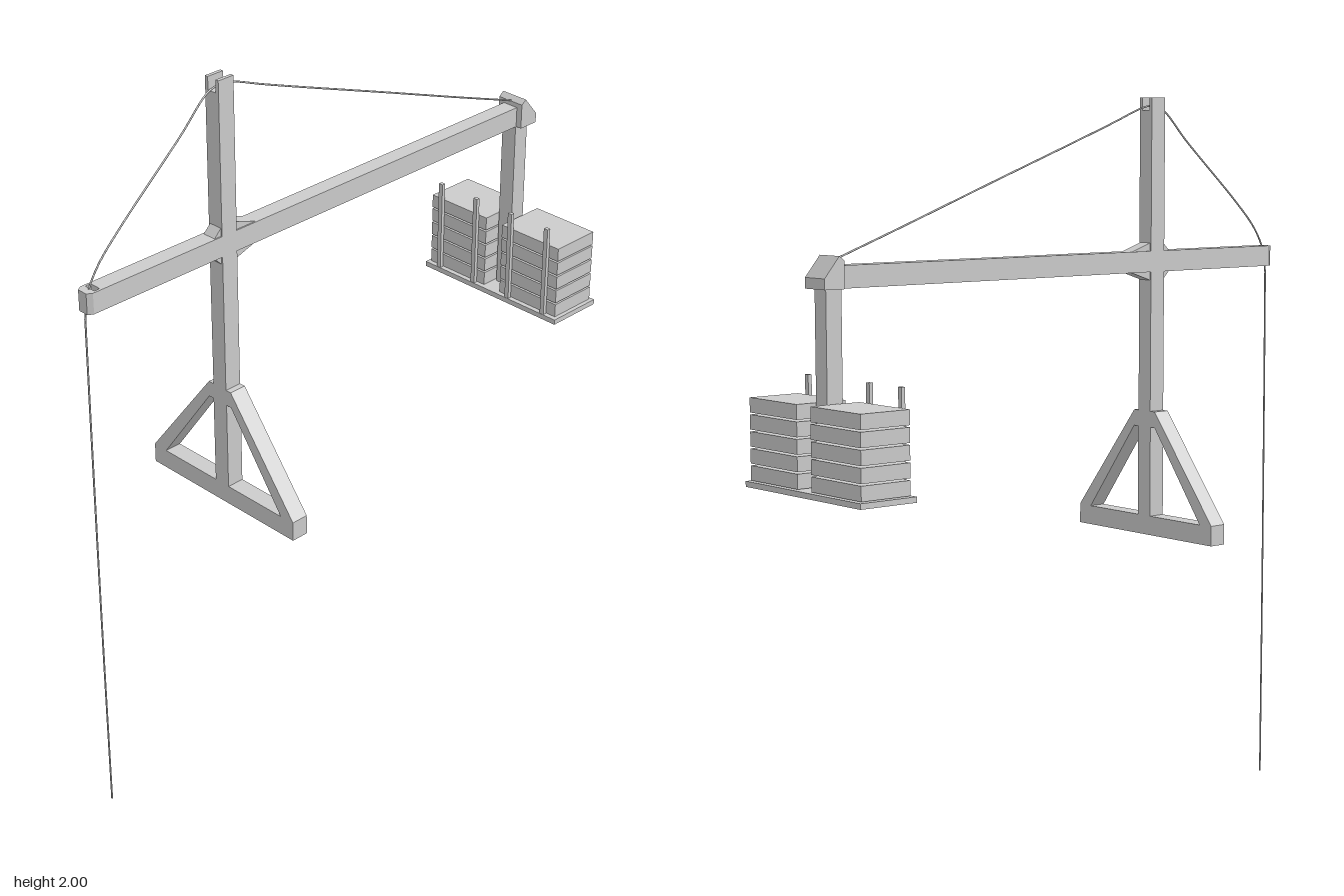
import * as THREE from 'three';

const material = new THREE.MeshStandardMaterial({ color: 0xcccccc, flatShading: true });
const ropeMaterial = new THREE.MeshStandardMaterial({ color: 0xcccccc });

export function createModel() {
  const root = new THREE.Group();
  root.name = 'counterweightCrane';

  const add = (name, geometry, parent = root, mat = material) => {
    const mesh = new THREE.Mesh(geometry, mat);
    mesh.name = name;
    parent.add(mesh);
    return mesh;
  };
  // Box given by its limits on each axis
  const box = (name, [x0, x1], [y0, y1], [z0, z1], parent) =>
    add(name, new THREE.BoxGeometry(x1 - x0, y1 - y0, z1 - z0), parent)
      .position.set((x0 + x1) / 2, (y0 + y1) / 2, (z0 + z1) / 2);
  const outline = (points) => new THREE.Shape(points.map(([u, v]) => new THREE.Vector2(u, v)));
  const extrude = (shape, depth) =>
    new THREE.ExtrudeGeometry(shape, { depth, bevelEnabled: false }).translate(0, 0, -depth / 2);
  // Side profile of (z, y) points, extruded across x
  const sideProfile = (name, points, width) =>
    add(name, extrude(outline(points), width).rotateY(-Math.PI / 2));

  const w = 0.024;
  const mastZ = 0.369;

  // Mast with a forked top for the rope
  add('mast', extrude(outline([
    [-w, 0.776], [w, 0.776], [w, 2], [0.014, 2], [0.014, 1.965],
    [-0.014, 1.965], [-0.014, 2], [-w, 2],
  ]), 0.05)).position.z = mastZ;

  // Triangular foot frame, one half each side of the mast
  const foot = new THREE.Group();
  foot.name = 'footFrame';
  root.add(foot);
  for (const s of [-1, 1]) {
    // Mirrored corners are reversed so that the winding stays the same
    const mirrored = (points) => (s > 0 ? points : points.map(([x, y]) => [-x, y]).reverse());
    const half = outline(mirrored([
      [w, 0.776], [0.272, 0.776], [0.272, 0.832], [0.042, 1.128], [w, 1.128],
    ]));
    half.holes.push(outline(mirrored([
      [w + 0.001, 0.83], [0.226, 0.83], [0.042, 1.083], [w + 0.001, 1.083],
    ])));
    add(s > 0 ? 'leftFoot' : 'rightFoot', extrude(half, 0.05), foot).position.z = mastZ;
  }

  // Long arm and its front end, slotted for the rope
  box('arm', [-w, w], [1.519, 1.577], [-0.74, 0.78]);
  const tip = outline([[-w, 0.78], [w, 0.78], [w, 0.814], [0.015, 0.828], [-0.015, 0.828], [-w, 0.814]]);
  tip.holes.push(outline([[-0.017, 0.787], [0.017, 0.787], [0.017, 0.804], [-0.017, 0.804]]));
  add('armTip', extrude(tip, 0.058).rotateX(Math.PI / 2)).position.y = 1.548;
  box('slotFloor', [-0.018, 0.018], [1.53, 1.55], [0.786, 0.805]);

  // Wedges that lock the arm to the mast, above and below
  for (const s of [-1, 1]) {
    const y = (v) => 1.548 + s * v;
    const side = s > 0 ? 'upper' : 'lower';
    sideProfile(side + 'FrontWedge', [[0.393, y(0.029)], [0.416, y(0.029)], [0.393, y(0.052)]], 0.04);
    sideProfile(side + 'RearWedge', [[0.345, y(0.029)], [0.345, y(0.052)], [0.275, y(0.029)]], 0.04);
  }

  // Cap on the rear end of the arm, and the hanger below it
  sideProfile('armCap', [
    [-0.718, 1.519], [-0.718, 1.59], [-0.734, 1.602], [-0.78, 1.547], [-0.78, 1.519],
  ], 0.084);
  box('hanger', [-w, w], [1.01, 1.535], [-0.764, -0.716]);

  // Load platform, retaining posts and two stacks of slabs
  const load = new THREE.Group();
  load.name = 'counterweight';
  root.add(load);
  box('platform', [-0.25, 0.25], [0.998, 1.013], [-0.83, -0.657], load);
  for (const x of [-0.2, -0.066, 0.066, 0.2]) {
    box('post', [x - 0.007, x + 0.007], [1.008, 1.283], [-0.669, -0.658], load);
  }
  for (const s of [-1, 1]) {
    const [x0, x1] = s > 0 ? [0.03, 0.24] : [-0.24, -0.03];
    for (let i = 0; i < 5; i++) {
      const y = 1.015 + i * 0.0442;
      box('slab', [x0, x1], [y, y + 0.039], [-0.82, -0.669], load);
    }
  }

  // Rope: hanging line, through the arm tip, up to the mast top, back to the cap
  const rope = (name, points) => {
    const curve = new THREE.CatmullRomCurve3(points.map(([z, y]) => new THREE.Vector3(0, y, z)), false, 'centripetal');
    add(name, new THREE.TubeGeometry(curve, 48, 0.0025, 6), root, ropeMaterial);
  };
  rope('hangingRope', [[0.827, 0], [0.827, 0.6], [0.825, 1.18], [0.823, 1.5]]);
  rope('frontRope', [[0.823, 1.5], [0.816, 1.55], [0.803, 1.585], [0.77, 1.635], [0.7, 1.705], [0.5, 1.88], [0.41, 1.965], [0.37, 1.978]]);
  rope('rearRope', [[0.37, 1.978], [0.335, 1.973], [0.22, 1.93], [0.1, 1.886], [-0.2, 1.778], [-0.5, 1.669], [-0.73, 1.587]]);

  return root;
}
